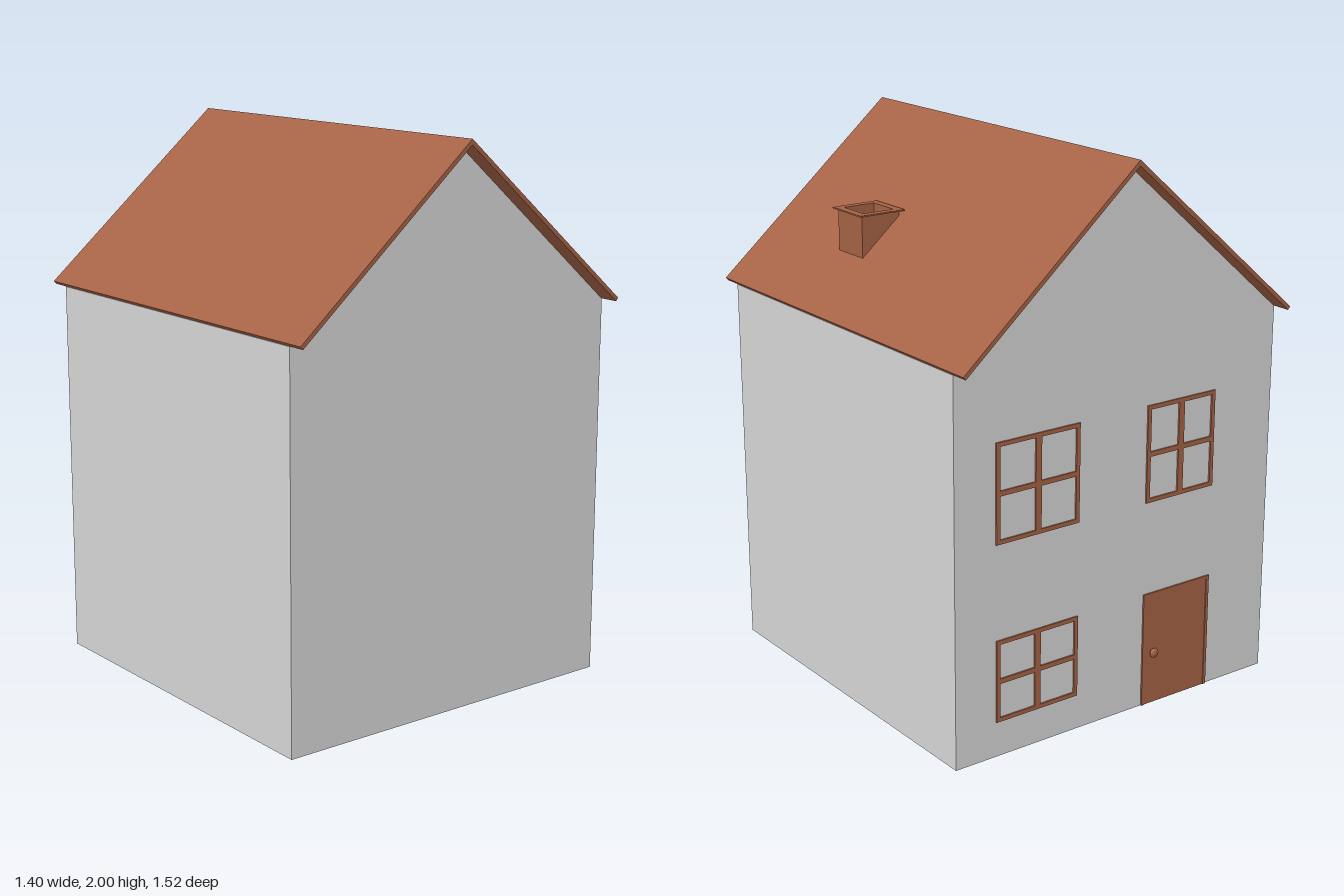
import * as THREE from 'three';

const wallGrey = new THREE.MeshStandardMaterial({ color: 0xd6d6d6 });
const tileBrown = new THREE.MeshStandardMaterial({ color: 0xa66245 });
wallGrey.name = 'wallGrey';
tileBrown.name = 'tileBrown';

const HALF = 0.69; // half width and depth of the walls

function add(parent, name, geometry, material, x = 0, y = 0, z = 0) {
  const mesh = new THREE.Mesh(geometry, material);
  mesh.name = name;
  mesh.position.set(x, y, z);
  parent.add(mesh);
  return mesh;
}

function extrude(points, depth) {
  const shape = new THREE.Shape(points.map(([x, y]) => new THREE.Vector2(x, y)));
  return new THREE.ExtrudeGeometry(shape, { depth, bevelEnabled: false })
    .translate(0, 0, -depth / 2);
}

// Square ring lying flat, rising from y = 0
function squareRing(outer, inner, height) {
  const corners = (r) => [[-r, -r], [r, -r], [r, r], [-r, r]].map(([x, y]) => new THREE.Vector2(x, y));
  const shape = new THREE.Shape(corners(outer));
  shape.holes.push(new THREE.Path(corners(inner).reverse()));
  return new THREE.ExtrudeGeometry(shape, { depth: height, bevelEnabled: false })
    .rotateX(-Math.PI / 2);
}

// Thin bar on the back wall, given by its x and y limits
function bar(parent, name, x0, x1, y0, y1, depth = 0.006) {
  add(parent, name, new THREE.BoxGeometry(x1 - x0, y1 - y0, depth), tileBrown,
    (x0 + x1) / 2, (y0 + y1) / 2, -HALF - depth / 2);
}

function windowFrame(x0, x1, y0, y1) {
  const group = new THREE.Group();
  group.name = 'window';
  const t = 0.015;
  const cx = (x0 + x1) / 2, cy = (y0 + y1) / 2;
  for (const x of [x0, x1 - t]) bar(group, 'frameSide', x, x + t, y0, y1);
  for (const y of [y0, y1 - t]) bar(group, 'frameRail', x0 + t, x1 - t, y, y + t);
  bar(group, 'mullion', cx - 0.012, cx + 0.012, y0 + t, y1 - t);
  bar(group, 'crossbarLeft', cx + 0.012, x1 - t, cy - 0.009, cy + 0.009);
  bar(group, 'crossbarRight', x0 + t, cx - 0.012, cy - 0.009, cy + 0.009);
  return group;
}

function makeDoor() {
  const group = new THREE.Group();
  group.name = 'door';
  const x0 = -0.42, x1 = -0.115, top = 0.43, t = 0.012;
  bar(group, 'doorPanel', x0 + t, x1 - t, 0, top - t, 0.003);
  bar(group, 'doorPostRight', x0, x0 + t, 0, top);
  bar(group, 'doorPostLeft', x1 - t, x1, 0, top);
  bar(group, 'doorLintel', x0 + t, x1 - t, top - t, top);
  // Round knob on a short neck
  const neck = new THREE.CylinderGeometry(0.008, 0.008, 0.016, 16).rotateX(Math.PI / 2);
  add(group, 'knobNeck', neck, tileBrown, -0.16, 0.2, -HALF - 0.008);
  const knob = add(group, 'knob', new THREE.SphereGeometry(0.018, 20, 12), tileBrown, -0.16, 0.2, -0.706);
  knob.scale.z = 0.55;
  return group;
}

function makeChimney() {
  const group = new THREE.Group();
  group.name = 'chimney';
  group.position.set(0.423, 0, 0.203);
  add(group, 'chimneyStack', squareRing(0.077, 0.062, 0.16), tileBrown, 0, 1.56, 0);
  add(group, 'chimneyRim', squareRing(0.091, 0.062, 0.005), tileBrown, 0, 1.72, 0);
  return group;
}

export function createModel() {
  const house = new THREE.Group();
  house.name = 'house';

  // Walls with gables at front and back
  add(house, 'walls', extrude(
    [[-HALF, 0], [HALF, 0], [HALF, 1.388], [0, 1.979], [-HALF, 1.388]], 2 * HALF), wallGrey);

  // Thin pitched roof overhanging both gables
  add(house, 'roof', extrude(
    [[0, 2], [-0.7, 1.4], [-0.69, 1.389], [0, 1.98], [0.69, 1.389], [0.7, 1.4]], 1.52), tileBrown);

  house.add(makeChimney());
  house.add(makeDoor());

  // Two windows upstairs, one beside the door
  house.add(windowFrame(0.18, 0.525, 0.775, 1.13));
  house.add(windowFrame(-0.42, -0.115, 0.775, 1.13));
  house.add(windowFrame(0.18, 0.525, 0.13, 0.43));

  return house;
}
